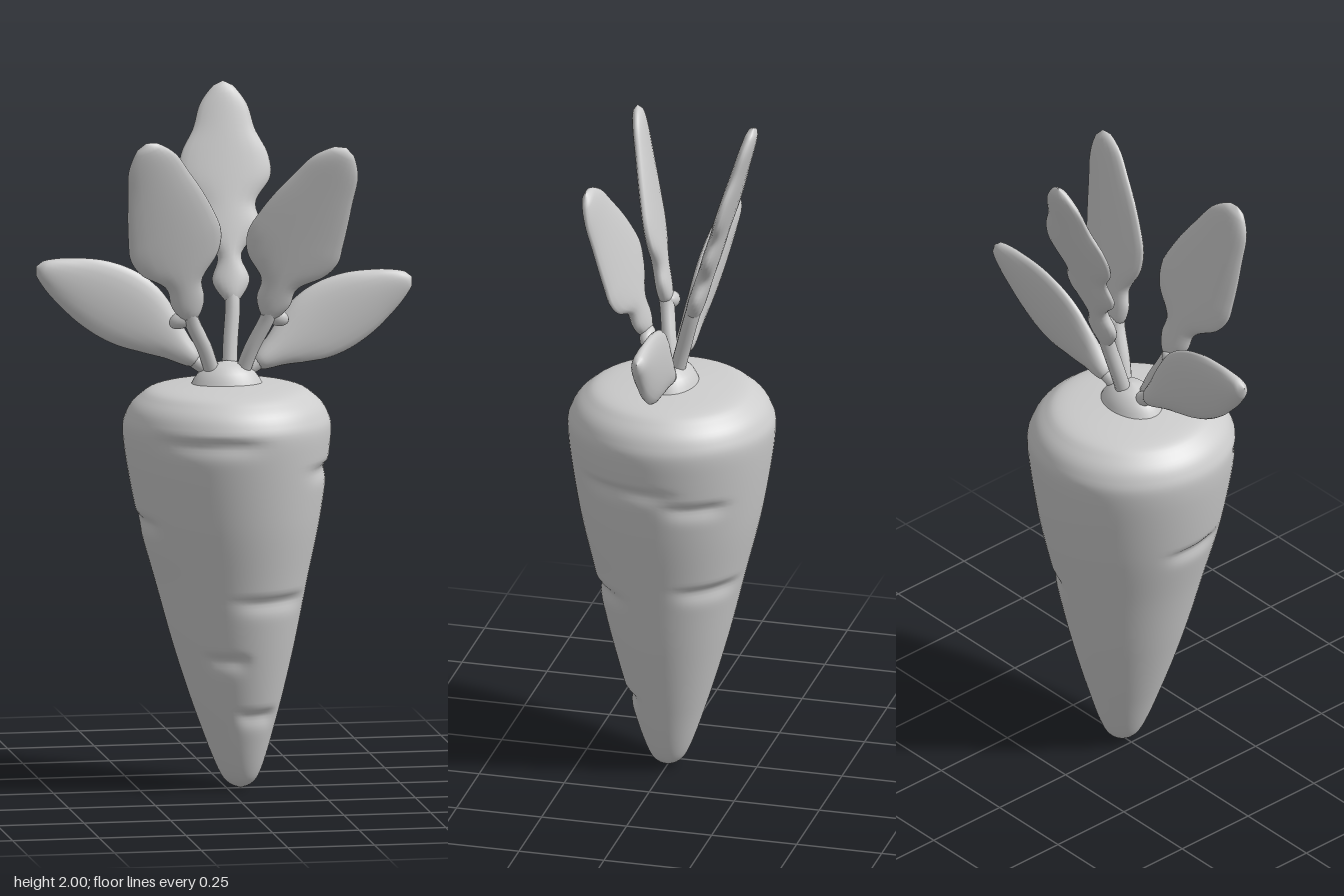
import * as THREE from 'three';
import { mergeVertices } from 'three/addons/utils/BufferGeometryUtils.js';

const V = (x, y, z) => new THREE.Vector3(x, y, z);

// Tapered root with a slight lean and shallow crosswise creases
function rootGeometry() {
  const profile = [[0, 0.003], [0.052, 0.04], [0.11, 0.2], [0.168, 0.4], [0.216, 0.6], [0.263, 0.8],
    [0.296, 1.02], [0.286, 1.09], [0.25, 1.135], [0.19, 1.163], [0, 1.18]];
  const points = new THREE.SplineCurve(profile.map(([r, y]) => new THREE.Vector2(r, y))).getSpacedPoints(130);
  points[0].x = points[130].x = 0;
  let geo = new THREE.LatheGeometry(points, 72);
  geo.deleteAttribute('uv');
  geo.deleteAttribute('normal');
  geo = mergeVertices(geo, 1e-5);
  // angle around the root (0 = front), height, half angle
  const creases = [[-0.35, 1.04, 0.5], [1.3, 0.94, 0.45], [2.1, 0.89, 0.3], [0.5, 0.57, 0.55],
    [-0.3, 0.4, 0.35], [0.4, 0.23, 0.5], [-1.45, 0.79, 0.35], [2.4, 0.61, 0.45]];
  const p = geo.attributes.position;
  for (let i = 0; i < p.count; i++) {
    const x = p.getX(i), y = p.getY(i), z = p.getZ(i);
    const r = Math.hypot(x, z), a = Math.atan2(x, z);
    let dent = 0;
    for (const [ca, cy, half] of creases) {
      const da = Math.atan2(Math.sin(a - ca), Math.cos(a - ca)) / half;
      const dy = (y - cy) / (y > cy ? 0.012 : 0.03);
      dent += 0.013 * Math.exp(-(da ** 4) - dy * dy);
    }
    const k = r > 0.03 ? (r - dent) / r : 1;
    const lean = 0.04 * Math.pow(Math.max(0, 1 - y), 1.3);
    p.setXYZ(i, x * k + lean, y, z * k);
  }
  geo.computeVertexNormals();
  return geo;
}

// Leaf blade: oval sections along a spine, half widths from base to tip, facing a given way
function bladeGeometry(spine, widths, face, thick) {
  const rows = 48, sides = 20, pos = [], index = [];
  const width = new THREE.SplineCurve(widths.map((w, i) => new THREE.Vector2(i, w)));
  for (let i = 0; i <= rows; i++) {
    const t = i / rows, centre = spine.getPoint(t), along = spine.getTangent(t);
    const across = along.clone().cross(face).normalize();
    const normal = across.clone().cross(along);
    const cap = Math.sqrt(1 - Math.pow(Math.abs(2 * t - 1), 16));
    const w = width.getPoint(t).y * cap;
    const h = Math.min(thick * (1 - 0.25 * t) * cap, w);
    for (let j = 0; j < sides; j++) {
      const q = (j / sides) * Math.PI * 2;
      const v = centre.clone().addScaledVector(across, Math.cos(q) * w).addScaledVector(normal, Math.sin(q) * h);
      pos.push(v.x, v.y, v.z);
      if (i < rows) {
        const n = (j + 1) % sides, o = i * sides;
        index.push(o + j, o + sides + j, o + n, o + n, o + sides + j, o + sides + n);
      }
    }
  }
  const geo = new THREE.BufferGeometry();
  geo.setAttribute('position', new THREE.Float32BufferAttribute(pos, 3));
  geo.setIndex(index);
  geo.computeVertexNormals();
  return geo;
}

export function createModel() {
  const grey = new THREE.MeshStandardMaterial({ color: 0xcccccc });
  grey.name = 'plain grey';
  const model = new THREE.Group();
  model.name = 'carrot';
  const add = (name, geo, parent = model) => {
    const mesh = new THREE.Mesh(geo, grey);
    mesh.name = name;
    parent.add(mesh);
    return mesh;
  };

  add('root', rootGeometry());

  // Flared crown where the stalks meet the root
  const crown = [[0.105, 1.165], [0.095, 1.185], [0.08, 1.205], [0.05, 1.228], [0, 1.237]];
  const crownMesh = add('crown', new THREE.LatheGeometry(crown.map(([r, y]) => new THREE.Vector2(r, y)), 32));
  crownMesh.scale.z = 0.75;

  // A leaf is a wavy blade on a stalk that rises from the crown
  const addLeaf = (name, base, middle, tip, face, widths, thick = 0.025) => {
    const leaf = new THREE.Group();
    leaf.name = name;
    model.add(leaf);
    const spine = new THREE.CatmullRomCurve3([base, middle, tip]);
    const root = V(base.x * 0.35, 1.19, base.z * 0.2);
    const bend = root.clone().lerp(base, 0.5).add(V(base.x * -0.05, 0, 0));
    const stalk = new THREE.CatmullRomCurve3([root, bend, base, spine.getPoint(0.12)]);
    add('stalk', new THREE.TubeGeometry(stalk, 20, 0.022, 12), leaf);
    add('blade', bladeGeometry(spine, widths, face, thick), leaf);
  };

  const frontWidths = [0.03, 0.05, 0.055, 0.115, 0.138, 0.13, 0.115, 0.095, 0.075, 0.04];
  addLeaf('frontRightLeaf', V(-0.108, 1.36, 0.043), V(-0.172, 1.62, 0.103), V(-0.262, 1.9, 0.171),
    V(0.13, -0.2, 1), frontWidths);
  addLeaf('frontLeftLeaf', V(0.108, 1.36, 0.043), V(0.185, 1.6, 0.1), V(0.315, 1.87, 0.17),
    V(-0.13, -0.2, 1), frontWidths);
  addLeaf('backLeaf', V(0.028, 1.38, -0.063), V(0.025, 1.7, -0.16), V(0.033, 2, -0.25),
    V(0, 0.3, 1), [0.02, 0.055, 0.035, 0.095, 0.085, 0.13, 0.125, 0.09, 0.07, 0.035]);

  const sideWidths = [0.028, 0.045, 0.075, 0.1, 0.107, 0.095, 0.065, 0.03];
  addLeaf('rightLeaf', V(-0.08, 1.23, -0.01), V(-0.28, 1.385, -0.03), V(-0.542, 1.515, -0.05),
    V(-0.05, 0.06, 1), sideWidths, 0.03);
  addLeaf('leftLeaf', V(0.08, 1.22, -0.01), V(0.28, 1.335, -0.03), V(0.542, 1.455, -0.04),
    V(0.05, 0.06, 1), sideWidths, 0.03);

  // Small side lobes low on the front stalks
  for (const s of [-1, 1]) {
    const lobe = add('stalkLobe', new THREE.SphereGeometry(1, 16, 12));
    lobe.scale.set(0.04, 0.025, 0.022);
    lobe.position.set(s * 0.135, 1.365, 0.035);
    lobe.rotation.z = s * -0.4;
  }
  return model;
}
